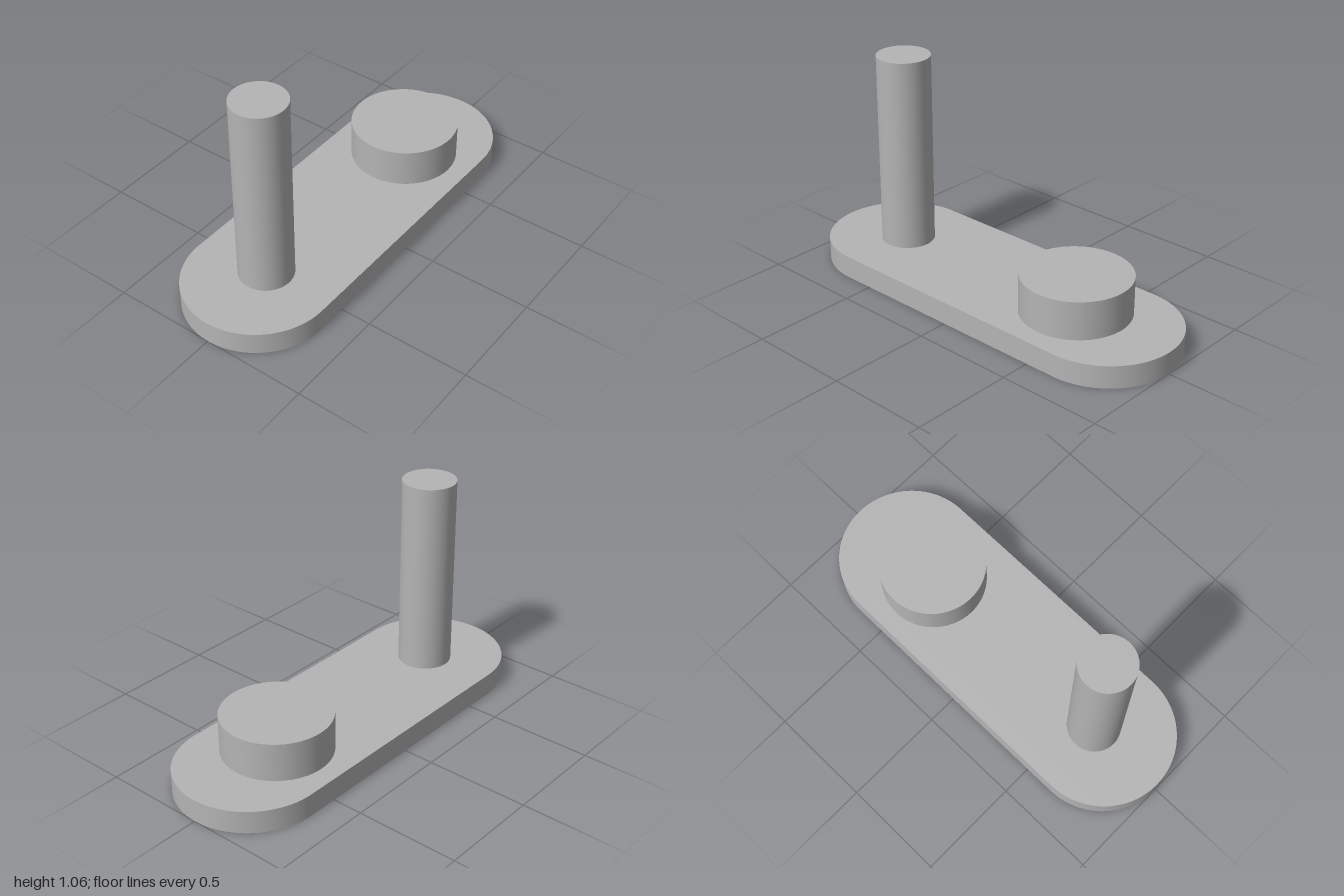
import * as THREE from 'three';
import { toCreasedNormals } from 'three/addons/utils/BufferGeometryUtils.js';

export function createModel() {
  const group = new THREE.Group();
  const grey = new THREE.MeshStandardMaterial({ name: 'plain grey', color: 0xb4b4b4 });

  const plateTop = 0.11;
  const endRadius = 0.352;
  const endX = 1 - endRadius;

  // Base plate: a slot outline with full round ends
  const outline = new THREE.Shape();
  outline.absarc(endX, 0, endRadius, -Math.PI / 2, Math.PI / 2, false);
  outline.absarc(-endX, 0, endRadius, Math.PI / 2, Math.PI * 1.5, false);
  outline.closePath();
  const plateGeometry = new THREE.ExtrudeGeometry(outline, {
    depth: plateTop, bevelEnabled: false, curveSegments: 40,
  });
  plateGeometry.rotateX(-Math.PI / 2);
  const plate = new THREE.Mesh(toCreasedNormals(plateGeometry, 0.5), grey);
  plate.name = 'basePlate';
  group.add(plate);

  // Upright cylinders standing on the plate
  function addPost(name, x, radius, top) {
    const height = top - plateTop;
    const post = new THREE.Mesh(new THREE.CylinderGeometry(radius, radius, height, 64), grey);
    post.name = name;
    post.position.set(x, plateTop + height / 2, 0);
    group.add(post);
  }
  addPost('tallPin', -0.594, 0.129, 1.057);
  addPost('roundBoss', 0.48, 0.259, 0.297);

  return group;
}
